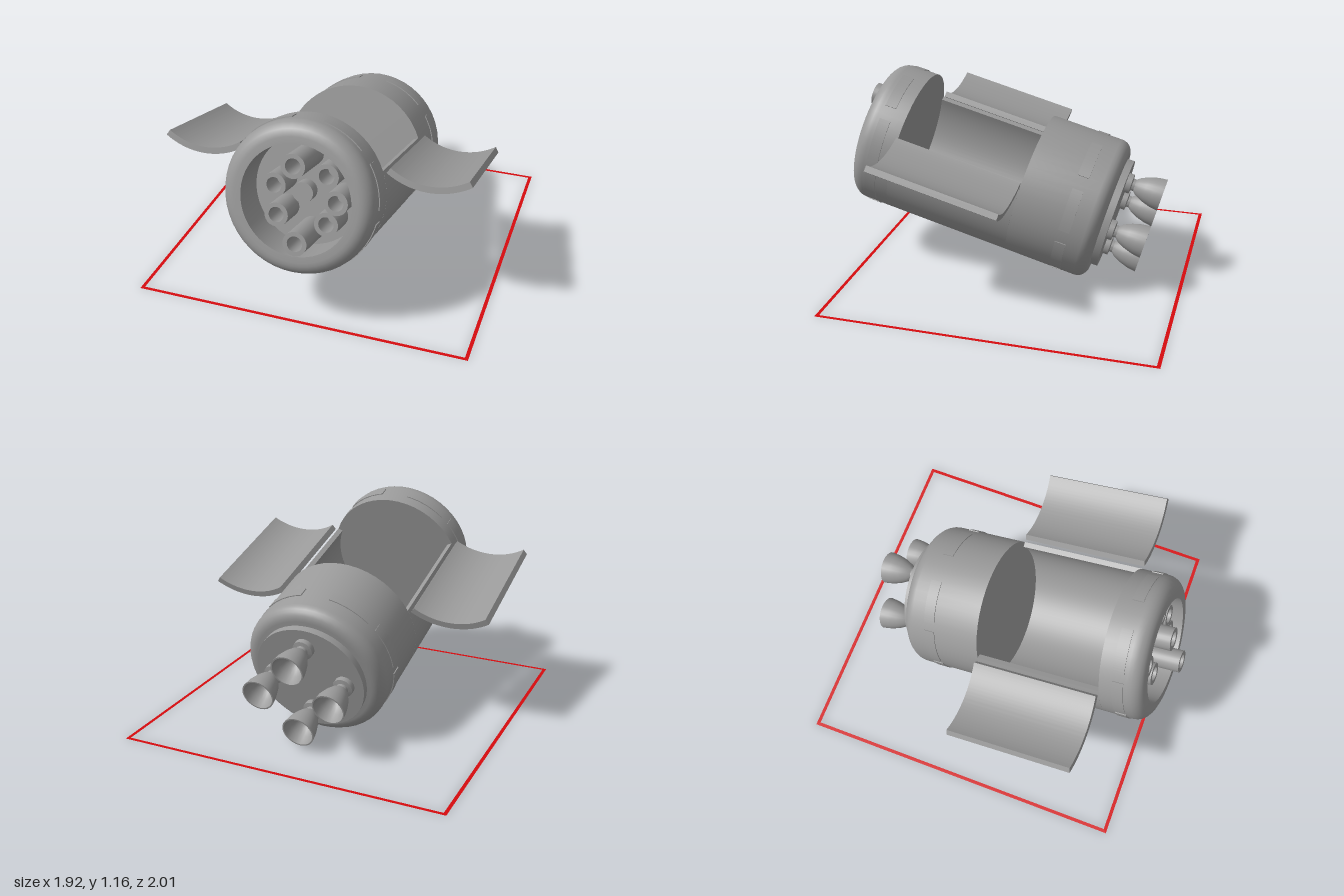
import * as THREE from 'three';
import { toCreasedNormals } from 'three/addons/utils/BufferGeometryUtils.js';

const hull = new THREE.MeshStandardMaterial({ color: 0x999999, side: THREE.DoubleSide });
hull.name = 'hull grey';
const red = new THREE.MeshStandardMaterial({ color: 0xd60a0e, side: THREE.DoubleSide });
red.name = 'frame red';

const R = 0.42;
const rad = THREE.MathUtils.degToRad;

// Add a named mesh with crisp edges
function add(parent, name, geometry, material = hull) {
  const mesh = new THREE.Mesh(toCreasedNormals(geometry, 0.5), material);
  mesh.name = name;
  parent.add(mesh);
  return mesh;
}

// Revolve [radius, distance along z] pairs about the z axis
function turned(profile, segments = 48) {
  const pts = profile.map(([r, z]) => new THREE.Vector2(r, z));
  return new THREE.LatheGeometry(pts, segments).rotateX(Math.PI / 2);
}

// Quarter-round corner from the side wall to an end face (dir = +1 front, -1 rear)
function corner(radius, end, round, dir) {
  const pts = [];
  for (let i = 0; i <= 6; i++) {
    const a = (i / 6) * Math.PI / 2;
    pts.push([radius - round + round * Math.cos(a), end - dir * round * (1 - Math.sin(a))]);
  }
  return pts;
}

// Curved plate: an arc section extruded along z, angles in degrees from +x
function arcPlate(outer, inner, from, to, z0, z1) {
  const shape = new THREE.Shape();
  shape.absarc(0, 0, outer, rad(from), rad(to), false);
  shape.absarc(0, 0, inner, rad(to), rad(from), true);
  const g = new THREE.ExtrudeGeometry(shape, { depth: z1 - z0, bevelEnabled: false, curveSegments: 32 });
  return g.translate(0, 0, z0);
}

export function createModel() {
  const model = new THREE.Group();
  model.name = 'spacecraft';

  // Craft pitched nose-up, its axis along local z
  const craft = new THREE.Group();
  craft.name = 'craft';
  craft.rotation.x = -rad(15);
  craft.position.set(0, 0.502, -0.135);
  model.add(craft);

  // Rear section with rounded end
  add(craft, 'rearSection', turned([
    [0, -0.42], ...corner(R, -0.42, 0.07, -1).reverse(), [R, 0.07], [0, 0.07]]));

  // Front section with a deep round recess
  add(craft, 'frontSection', turned([
    [0, 0.815], [R, 0.815], ...corner(R, 1.055, 0.08, 1), [0.305, 1.055], [0.305, 0.84], [0, 0.84]]));

  // Open cargo bay shell
  add(craft, 'bayShell', arcPlate(R, 0.39, -203, 23, 0.07, 0.815));

  // Bay doors swung outward
  for (const side of [1, -1]) {
    const door = add(craft, side > 0 ? 'leftDoor' : 'rightDoor', arcPlate(R, 0.385, -123, -57, 0.07, 0.815));
    door.position.set(side * 0.635, 0.51, 0);
  }

  // Raised panels around both end sections
  for (const angle of [28.7, 73.7, 118.7, 163.7, 208.7, 250, 290, 331.3]) {
    const mid = 90 - angle;
    for (const [z0, z1] of [[-0.27, -0.205], [0.89, 0.955]]) {
      add(craft, 'raisedPanel', arcPlate(0.4245, 0.416, mid - 17, mid + 17, z0, z1));
    }
  }

  // Tubes and hub in the front recess: x, y, front end
  const tubes = [
    [0, 0.205, 1.125], [0.035, -0.21, 1.115], [0.145, 0.144, 1.01], [0.205, 0.009, 1.01],
    [0.162, -0.115, 1.01], [-0.115, -0.11, 1.01], [-0.138, 0.05, 1.01]];
  for (const [x, y, end] of tubes) {
    const tube = add(craft, 'frontTube', turned([
      [0.066, 0.83], [0.066, end], [0.042, end], [0.042, 0.86], [0, 0.86]], 24));
    tube.position.set(x, y, 0);
  }
  const hub = add(craft, 'frontHub', turned([[0.058, 0.83], [0.058, 0.91], [0, 0.91]], 24));
  hub.position.x = -0.012;

  // Engine plate and four bell engines
  add(craft, 'enginePlate', turned([[0, -0.46], [0.325, -0.46], [0.325, -0.41]]));
  for (const [x, y] of [[0, 0.212], [0, -0.212], [0.212, 0], [-0.212, 0]]) {
    const engine = new THREE.Group();
    engine.name = 'engine';
    engine.position.set(x, y, 0);
    craft.add(engine);
    add(engine, 'engineMount', turned([
      [0, -0.515], [0.035, -0.515], [0.035, -0.495], [0.058, -0.49], [0.058, -0.45]], 24));
    add(engine, 'engineBell', turned([
      [0, -0.53], [0.035, -0.545], [0.06, -0.58], [0.077, -0.62], [0.087, -0.677],
      [0.095, -0.677], [0.088, -0.625], [0.073, -0.575], [0.052, -0.53], [0.033, -0.508], [0, -0.505]], 24));
  }

  // Flat square ground frame
  const square = (h, path) => path.moveTo(-h, -h).lineTo(h, -h).lineTo(h, h).lineTo(-h, h).closePath();
  const outline = square(0.96, new THREE.Shape());
  outline.holes.push(square(0.94, new THREE.Path()));
  const frame = add(model, 'groundFrame', new THREE.ShapeGeometry(outline).rotateX(-Math.PI / 2), red);
  frame.position.z = -0.04;

  return model;
}
